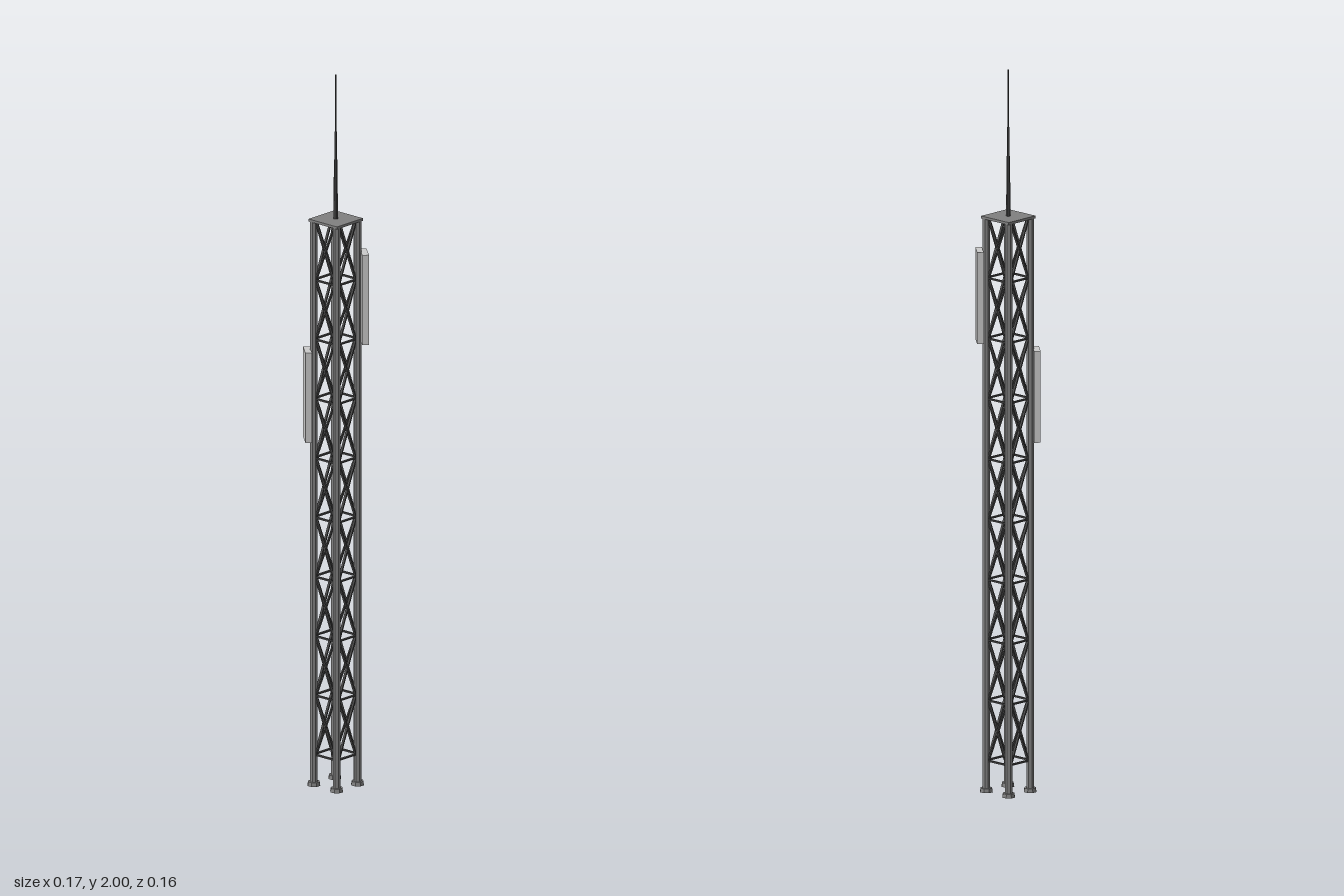
import * as THREE from 'three';

const steel = new THREE.MeshStandardMaterial({ color: 0x808080, flatShading: true });
const dark = new THREE.MeshStandardMaterial({ color: 0x4a4a4a, flatShading: true });
const pale = new THREE.MeshStandardMaterial({ color: 0xcccccc, flatShading: true });

const LEG = 0.0415;      // leg centre distance from the axis
const INNER = 0.034;     // where the braces meet the legs
const TOP = 1.595;
const BASE = 0.087;      // lowest horizontal brace
const BAYS = 9;

function add(parent, name, geometry, material, x = 0, y = 0, z = 0) {
  const mesh = new THREE.Mesh(geometry, material);
  mesh.name = name;
  mesh.position.set(x, y, z);
  parent.add(mesh);
  return mesh;
}

// Eight-sided post standing on y = 0, flats facing the axes
function post(rTop, rBottom, height) {
  return new THREE.CylinderGeometry(rTop, rBottom, height, 8)
    .rotateY(Math.PI / 8).translate(0, height / 2, 0);
}

// Slim bar in one lattice face, from (x1, y1) to (x2, y2)
function brace(parent, name, x1, y1, x2, y2) {
  const bar = new THREE.BoxGeometry(Math.hypot(x2 - x1, y2 - y1), 0.004, 0.007);
  const mesh = add(parent, name, bar, dark, (x1 + x2) / 2, (y1 + y2) / 2, LEG);
  mesh.rotation.z = Math.atan2(y2 - y1, x2 - x1);
}

export function createModel() {
  const model = new THREE.Group();
  model.name = 'latticeTower';
  const tower = new THREE.Group();
  tower.name = 'tower';
  tower.position.x = -0.001;
  model.add(tower);

  // Four legs with round foot pads
  for (const sx of [-1, 1]) for (const sz of [-1, 1]) {
    add(tower, 'leg', post(0.011, 0.011, TOP - 0.004), steel, sx * LEG, 0, sz * LEG);
    add(tower, 'foot', post(0.0165, 0.0184, 0.011), steel, sx * LEG, 0, sz * LEG);
  }

  // Cross-braced lattice on each of the four faces
  const step = (TOP - 0.004 - BASE) / BAYS;
  for (let side = 0; side < 4; side++) {
    const face = new THREE.Group();
    face.name = 'latticeFace';
    face.rotation.y = side * Math.PI / 2;
    tower.add(face);
    for (let i = 0; i <= BAYS; i++) {
      const y = BASE + i * step;
      brace(face, 'horizontalBrace', -INNER, y, INNER, y);
      if (i === BAYS) continue;
      brace(face, 'diagonalBrace', -INNER, y, INNER, y + step);
      brace(face, 'diagonalBrace', INNER, y, -INNER, y + step);
    }
  }

  // Top plate and stepped mast
  add(tower, 'topPlate', new THREE.BoxGeometry(0.104, 0.007, 0.104), steel, 0, TOP - 0.0035, 0);
  add(tower, 'mastBase', post(0.0055, 0.006, 0.165), dark, 0, TOP, 0);
  add(tower, 'mastMiddle', post(0.004, 0.004, 0.08), dark, 0, 1.76, 0);
  add(tower, 'mastTip', post(0.002, 0.0025, 0.16), dark, 0, 1.84, 0);

  // Two antenna panels on opposite corners
  for (const [x, y, z] of [[0.0545, 1.374, -0.0535], [-0.0545, 1.1, 0.0535]]) {
    const panel = add(model, 'antennaPanel', new THREE.BoxGeometry(0.0595, 0.253, 0.018), pale, x, y, z);
    panel.rotation.y = -0.72;
  }
  return model;
}
